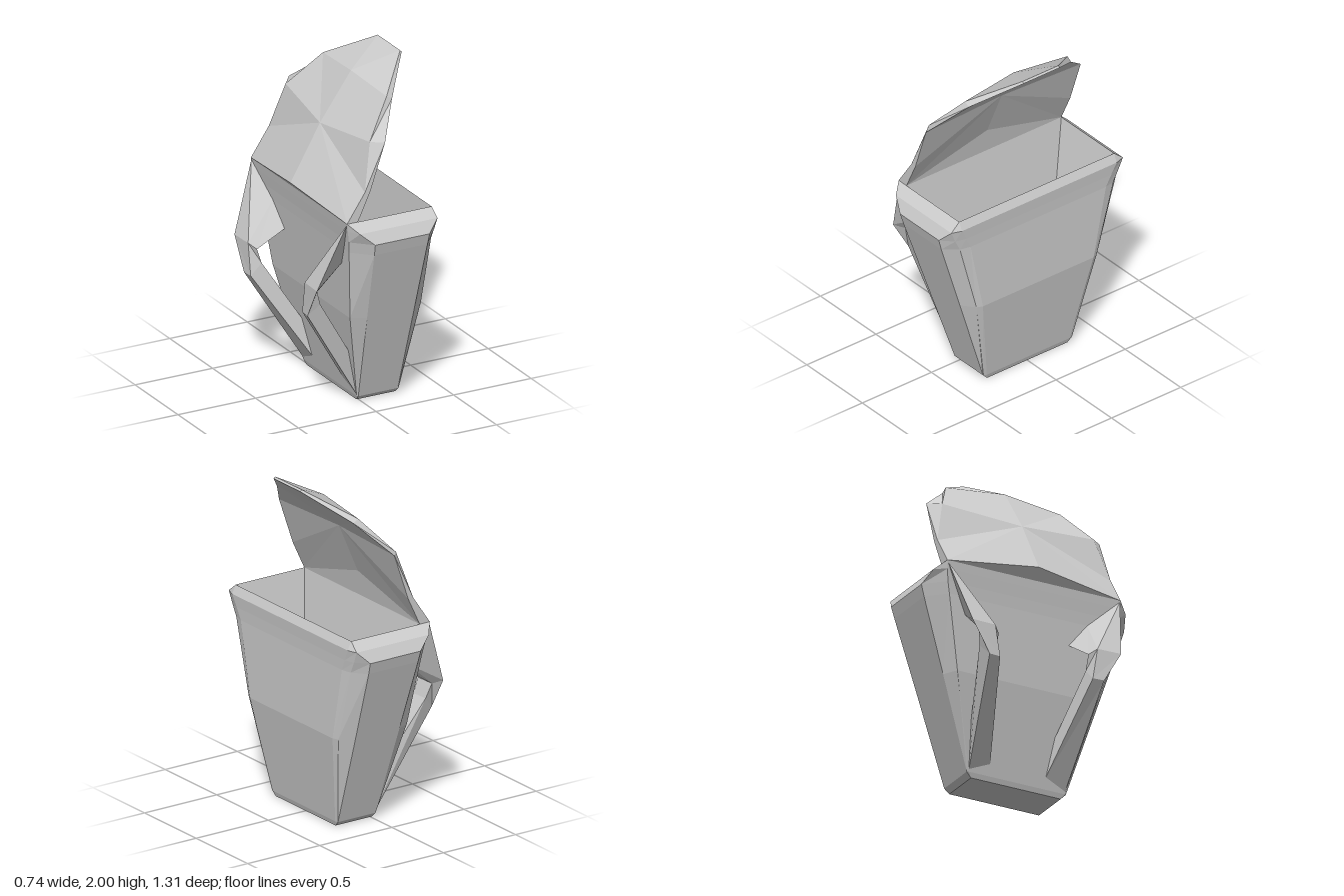
import * as THREE from 'three';

const material = new THREE.MeshStandardMaterial({ color: 0xcccccc, flatShading: true, side: THREE.DoubleSide });

// Faceted mesh from a list of triangles, each made of three [x, y, z] corners
function facetMesh(name, triangles) {
  const geometry = new THREE.BufferGeometry();
  geometry.setAttribute('position', new THREE.Float32BufferAttribute(triangles.flat(2), 3));
  geometry.computeVertexNormals();
  const mesh = new THREE.Mesh(geometry, material);
  mesh.name = name;
  return mesh;
}

const same = (a, b) => a.every((v, k) => v === b[k]);
const flip = ([x, y, z]) => [x, y, -z];
const mirrored = (triangles) => triangles.map(([a, b, c]) => [flip(a), flip(c), flip(b)]);

// Fan a convex polygon into triangles, dropping collapsed ones
function fan(points) {
  const out = [];
  for (let i = 1; i < points.length - 1; i++) {
    const [a, b, c] = [points[0], points[i], points[i + 1]];
    if (!same(a, b) && !same(b, c) && !same(a, c)) out.push([a, b, c]);
  }
  return out;
}

// Skin a series of closed rings and cap both ends
function loft(rings) {
  const out = [];
  for (let i = 0; i < rings.length - 1; i++) {
    const lower = rings[i], upper = rings[i + 1], n = lower.length;
    for (let j = 0; j < n; j++) {
      const k = (j + 1) % n;
      out.push(...fan([lower[j], lower[k], upper[k], upper[j]]));
    }
  }
  out.push(...fan([...rings[0]].reverse()), ...fan(rings[rings.length - 1]));
  return out;
}

// Ring at height y through [x, z] corners: back, two side, bevel, front; mirrored in z
function bodyRing([y, ...corners]) {
  const half = corners.map(([x, z]) => [x, y, z]);
  return [...half, ...half.map(flip).reverse()];
}

function makeBody() {
  const rim = [0.325, 0.56], floor = [0.222, 0.34];
  return facetMesh('body', loft([
    [0, [-0.01, 0.29], [-0.01, 0.29], [0.24, 0.29], [0.24, 0.29], [0.24, 0.29]],
    [0.03, [-0.02, 0.31], [-0.015, 0.32], [0.24, 0.32], [0.245, 0.32], [0.25, 0.3]],
    [0.58, [-0.14, 0.45], [-0.055, 0.495], [0.25, 0.495], [0.325, 0.435], [0.34, 0.4]],
    [1.02, [-0.19, 0.53], [-0.085, 0.635], [0.257, 0.635], [0.325, 0.555], [0.34, 0.49]],
    [1.09, [-0.2, 0.545], [-0.09, 0.655], [0.26, 0.655], [0.327, 0.59], [0.344, 0.525]],
    [1.16, [-0.212, 0.555], [-0.17, 0.62], [0.33, 0.62], [0.33, 0.62], [0.35, 0.56]],
    [1.21, [-0.22, 0.56], [-0.22, 0.56], rim, rim, rim],
    [1.21, [-0.15, 0.56], [-0.15, 0.56], rim, rim, rim], // thick back wall
    [0.12, [-0.005, 0.34], [-0.005, 0.34], floor, floor, floor], // inner floor
  ].map(bodyRing)));
}

// Open lid: a domed faceted shell, built as one half and mirrored
function makeLid() {
  const outer = {
    edge: [[-0.22, 1.21, 0.56], [-0.105, 1.38, 0.56], [-0.035, 1.65, 0.49], [0.14, 1.85, 0.37], [0.36, 2, 0.13]],
    mid: [[-0.275, 1.27, 0], [-0.085, 1.6, 0], [0.115, 1.88, 0]],
    hinge: [-0.22, 1.21, 0], tip: [0.36, 2, 0],
  };
  const inner = {
    edge: [[-0.15, 1.21, 0.56], [-0.07, 1.38, 0.56], [0.025, 1.66, 0.56], [0.175, 1.83, 0.37], [0.37, 1.99, 0.13]],
    mid: [[-0.12, 1.37, 0], [0.01, 1.67, 0], [0.17, 1.83, 0]],
    hinge: [-0.15, 1.21, 0], tip: [0.37, 1.99, 0],
  };
  const skin = ({ edge: e, mid: c, hinge, tip }) => [
    [e[0], c[0], hinge], [e[0], c[1], c[0]], [e[0], e[1], c[1]], [e[1], e[2], c[1]],
    [e[2], e[3], c[1]], [e[3], c[2], c[1]], [e[3], e[4], c[2]], [e[4], tip, c[2]],
  ];
  const half = [...skin(outer), ...skin(inner).map(([a, b, c]) => [a, c, b])];
  const o = outer.edge, n = inner.edge;
  for (let i = 0; i < 4; i++) half.push(...fan([o[i], n[i], n[i + 1], o[i + 1]]));
  half.push(...fan([o[4], n[4], inner.tip, outer.tip]));
  return facetMesh('lid', [...half, ...mirrored(half)]);
}

// Shoulder strap: four sections from the rim down to the base
function strapTriangles() {
  return loft([
    [[-0.22, 1.2, 0.555], [-0.19, 1.02, 0.36], [-0.172, 0.88, 0.25], [-0.172, 0.92, 0.42]],
    [[-0.37, 0.8, 0.48], [-0.365, 0.8, 0.33], [-0.33, 0.77, 0.29], [-0.335, 0.77, 0.42]],
    [[-0.37, 0.61, 0.37], [-0.365, 0.61, 0.3], [-0.3, 0.68, 0.29], [-0.305, 0.68, 0.4]],
    [[-0.02, 0.04, 0.31], [-0.035, 0.1, 0.18], [-0.085, 0.33, 0.21], [-0.085, 0.33, 0.33]],
  ]);
}

export function createModel() {
  const group = new THREE.Group();
  group.name = 'backpack';
  const strap = strapTriangles();
  group.add(makeBody(), makeLid(), facetMesh('frontStrap', strap), facetMesh('rearStrap', mirrored(strap)));
  return group;
}
